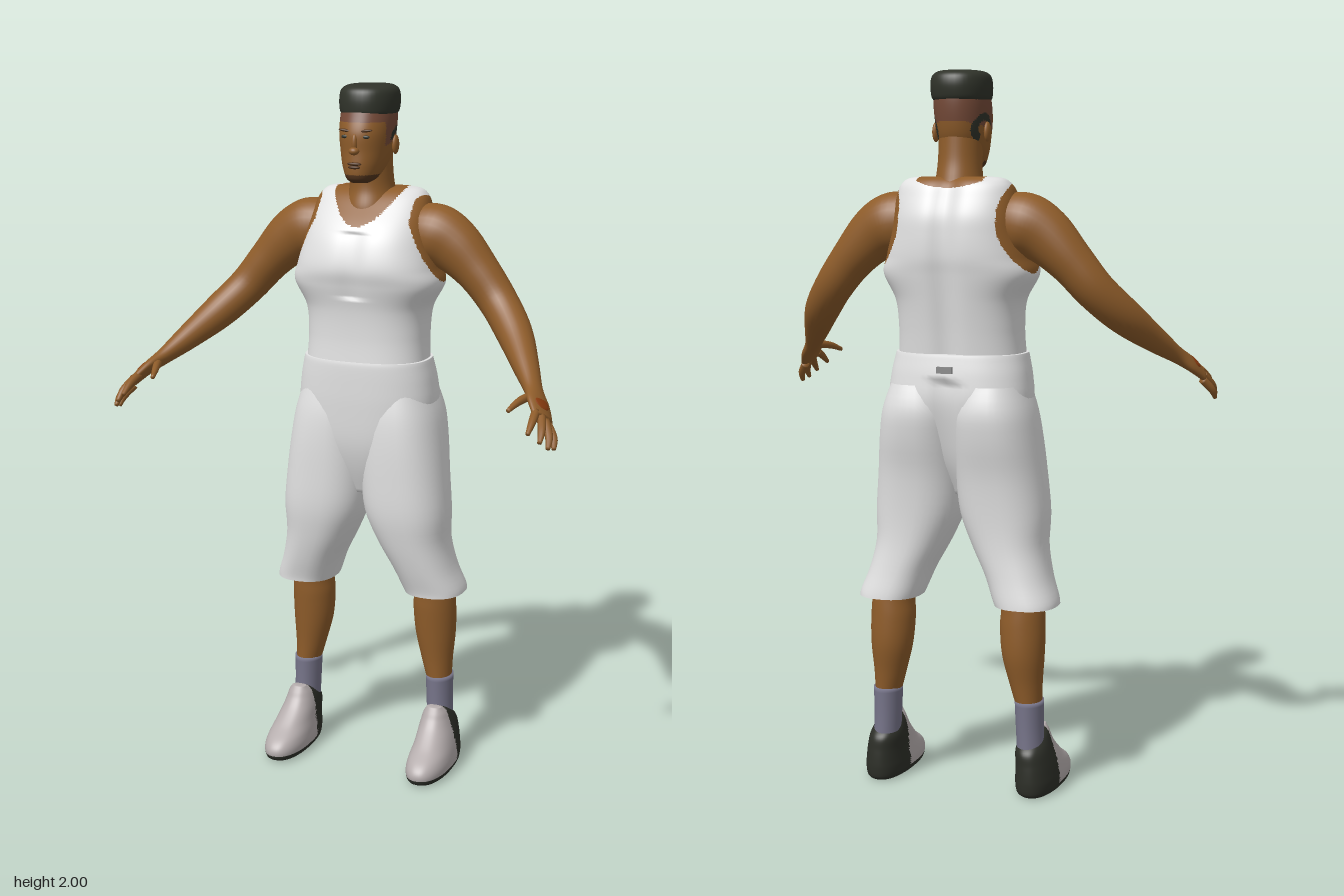
import * as THREE from 'three';

const mat = (name, color, side = THREE.FrontSide) => {
  const m = new THREE.MeshStandardMaterial({ color, side });
  m.name = name;
  return m;
};

// smooth interpolation through rows of numbers
function sample(rows, t) {
  const f = t * (rows.length - 1), i = Math.min(Math.floor(f), rows.length - 2), u = f - i;
  const at = k => rows[Math.max(0, Math.min(rows.length - 1, k))];
  const [a, b, c, d] = [at(i - 1), at(i), at(i + 1), at(i + 2)];
  return b.map((_, k) => {
    const m0 = (c[k] - a[k]) / 2, m1 = (d[k] - b[k]) / 2, u2 = u * u, u3 = u2 * u;
    return (2 * u3 - 3 * u2 + 1) * b[k] + (u3 - 2 * u2 + u) * m0 + (3 * u2 - 2 * u3) * c[k] + (u3 - u2) * m1;
  });
}

// closed rings of points -> smooth surface; pick(x, y, z) chooses the material of a face
function skin(rings, capped, pick = () => 0) {
  if (capped) {
    const mid = r => r.reduce((s, p) => s.add(p), new THREE.Vector3()).divideScalar(r.length);
    const ends = [rings[0], rings.at(-1)].map(r => r.map(() => mid(r)));
    rings = [ends[0], ...rings, ends[1]];
  }
  const n = rings[0].length, pts = rings.flat(), buckets = [];
  const face = (...f) => {
    const c = new THREE.Vector3();
    f.forEach(i => c.addScaledVector(pts[i], 1 / 3));
    (buckets[pick(c.x, c.y, c.z)] ??= []).push(...f);
  };
  for (let i = 0; i < rings.length - 1; i++) for (let j = 0; j < n; j++) {
    const a = i * n + j, b = i * n + (j + 1) % n;
    face(a, b, a + n);
    face(b, b + n, a + n);
  }
  const g = new THREE.BufferGeometry().setFromPoints(pts);
  g.setIndex(buckets.flat());
  let start = 0;
  buckets.forEach((b, k) => { g.addGroup(start, b.length, k); start += b.length; });
  g.computeVertexNormals();
  return g;
}

// upright loft; rows of [y, xMin, xMax, zBack, zFront], bottom to top
function loft(rows, { n = 40, steps = 30, p = 2.3, capped = true, pick, warp } = {}) {
  const bow = v => Math.sign(v) * Math.abs(v) ** (2 / p), rings = [];
  for (let i = 0; i <= steps; i++) {
    const [y, x0, x1, z0, z1] = sample(rows, i / steps), ring = [];
    for (let j = 0; j < n; j++) {
      const a = j / n * Math.PI * 2;
      const v = new THREE.Vector3((x0 + x1) / 2 + (x1 - x0) / 2 * bow(Math.cos(a)), y,
        (z0 + z1) / 2 - (z1 - z0) / 2 * bow(Math.sin(a)));
      if (warp) warp(v);
      ring.push(v);
    }
    rings.push(ring);
  }
  return skin(rings, capped, pick);
}
const even = rows => rows.map(([y, w, z0, z1]) => [y, -w, w, z0, z1]);

// limb along a path; rows of [x, y, z, radius, thickness]
function limb(rows, n = 24, steps = 32) {
  const rings = [], e = 0.01;
  for (let i = 0; i <= steps; i++) {
    const t = i / steps, [x, y, z, r, h] = sample(rows, t);
    const dir = new THREE.Vector3(...sample(rows, Math.min(1, t + e)).slice(0, 3))
      .sub(new THREE.Vector3(...sample(rows, Math.max(0, t - e)).slice(0, 3))).normalize();
    const up = new THREE.Vector3(1, 1, 0);
    up.addScaledVector(dir, -up.dot(dir)).normalize();
    const across = dir.clone().cross(up);
    rings.push(Array.from({ length: n }, (_, j) => {
      const a = j / n * Math.PI * 2;
      return new THREE.Vector3(x, y, z).addScaledVector(up, h * Math.cos(a)).addScaledVector(across, r * Math.sin(a));
    }));
  }
  return skin(rings, true);
}

export function createModel() {
  const root = new THREE.Group();
  const skinTone = mat('skin', 0x8e5c2a), cloth = mat('white cloth', 0xe2e2e2, THREE.DoubleSide);
  const hair = mat('hair', 0x30332a), fade = mat('shaved hair', 0x754a38), beard = mat('beard', 0x53351d);
  const sockMat = mat('sock', 0x77758a), shoeMat = mat('shoe', 0xb5adad), darkMat = mat('shoe dark', 0x2d2f28);
  const knuckle = mat('hand marking', 0x8a3c10), grey = mat('tag', 0x8c8c8c);
  const add = (name, geo, m, parent = root) => {
    const mesh = new THREE.Mesh(geo, m);
    mesh.name = name;
    parent.add(mesh);
    return mesh;
  };
  const blob = (name, m, pos, size, parent = root) => {
    const mesh = add(name, new THREE.SphereGeometry(1, 20, 14), m, parent);
    mesh.position.set(...pos);
    mesh.scale.set(...size);
    return mesh;
  };

  // torso: vest with skin showing at the neckline and armholes
  add('torso', loft(even([
    [1.22, 0.178, -0.235, 0.018], [1.30, 0.174, -0.245, 0.014], [1.38, 0.181, -0.257, 0.018],
    [1.45, 0.216, -0.268, 0.032], [1.50, 0.205, -0.276, 0.04], [1.56, 0.19, -0.276, 0.025],
    [1.61, 0.18, -0.27, -0.002], [1.66, 0.17, -0.25, -0.045], [1.695, 0.155, -0.232, -0.08],
    [1.712, 0.125, -0.21, -0.11], [1.715, 0.05, -0.18, -0.14]]), {
    n: 144, steps: 110, p: 2.5,
    warp: v => {
      const back = v.z < -0.14, s = Math.exp(-((v.x / 0.035) ** 2));
      if (back) v.z += 0.016 * s;
      else if (v.y > 1.42 && v.y < 1.6) v.z -= 0.008 * s;
    },
    pick: (x, y, z) => {
      const neck = z > -0.15 ? y > 1.615 + 9 * x * x : y > 1.685 + 2 * x * x && Math.abs(x) < 0.095;
      const armhole = Math.abs(x) > 0.14 && ((z + 0.14) / 0.1) ** 2 + ((y - 1.575) / 0.12) ** 2 < 1;
      return neck || armhole ? 1 : 0;
    } }), [cloth, skinTone]);

  // neck
  add('neck', loft(even([
    [1.60, 0.085, -0.23, -0.04], [1.66, 0.077, -0.222, -0.045], [1.71, 0.064, -0.208, -0.06],
    [1.76, 0.06, -0.196, -0.06], [1.83, 0.06, -0.19, -0.05]]), { p: 2 }), skinTone);

  // head with shaved sides, hairline around the ears and chin beard
  add('head', loft(even([
    [1.735, 0.026, -0.07, -0.016], [1.748, 0.042, -0.115, 0.0], [1.78, 0.058, -0.165, 0.004],
    [1.82, 0.068, -0.19, 0.002], [1.87, 0.074, -0.202, 0.002], [1.92, 0.075, -0.206, -0.014],
    [1.96, 0.07, -0.2, -0.03]]), {
    n: 96, steps: 64, p: 2.15,
    pick: (x, y, z) => {
      const r = ((z + 0.13) / 0.045) ** 2 + ((y - 1.845) / 0.04) ** 2;
      if (r < 1 && r > 0.25 && (y > 1.85 || z < -0.14)) return 2;
      if (y > 1.9 || (z < -0.06 && y > 1.835 - (z + 0.06) * 0.2)) return 1;
      return y < 1.758 && z > -0.07 ? 3 : 0;
    } }), [skinTone, fade, hair, beard]);

  // flat-topped hair
  add('hair', loft(even([
    [1.918, 0.073, -0.204, -0.02], [1.93, 0.079, -0.211, -0.016], [1.96, 0.081, -0.215, -0.016],
    [1.985, 0.076, -0.208, -0.024], [1.997, 0.058, -0.187, -0.045], [2.0, 0.025, -0.15, -0.08]]), { p: 2.2 }), hair);

  // face
  blob('nose bridge', skinTone, [0, 1.845, 0.0], [0.009, 0.026, 0.011]);
  blob('nose tip', skinTone, [0, 1.824, 0.005], [0.015, 0.011, 0.014]);
  blob('upperLip', beard, [0, 1.789, 0.003], [0.021, 0.005, 0.008]);
  blob('lowerLip', beard, [0, 1.78, 0.004], [0.018, 0.005, 0.008]);

  // shorts: hips, plus one leg per side below
  add('hips', loft(even([
    [0.84, 0.05, -0.18, -0.04], [0.92, 0.13, -0.215, -0.008], [1.0, 0.185, -0.238, 0.012],
    [1.1, 0.203, -0.258, 0.02], [1.17, 0.198, -0.254, 0.022], [1.22, 0.188, -0.245, 0.022],
    [1.236, 0.184, -0.241, 0.02]]), {
    p: 2.5, n: 64,
    warp: v => { if (v.z < -0.14 && v.y < 1.17) v.z += 0.02 * Math.exp(-((v.x / 0.03) ** 2)); } }), cloth);
  add('waist tag', new THREE.BoxGeometry(0.045, 0.018, 0.008), grey).position.set(0, 1.195, -0.252);

  for (const side of [1, -1]) {
    const g = new THREE.Group();
    g.name = side > 0 ? 'leftSide' : 'rightSide';
    root.add(g);
    // mirrored copies keep outward faces by reversing the winding
    const put = (name, geo, m) => {
      if (side < 0) {
        geo.scale(-1, 1, 1);
        const ix = geo.index.array;
        for (let i = 0; i < ix.length; i += 3) [ix[i], ix[i + 1]] = [ix[i + 1], ix[i]];
        geo.computeVertexNormals();
      }
      return add(name, geo, m, g);
    };

    // shorts leg, open at the hem
    put('shortsLeg', loft([
      [0.54, 0.115, 0.29, -0.24, -0.042], [0.56, 0.106, 0.286, -0.238, -0.038], [0.62, 0.082, 0.264, -0.23, -0.02],
      [0.70, 0.04, 0.248, -0.225, 0.0], [0.79, 0.003, 0.25, -0.228, 0.016], [0.90, -0.008, 0.24, -0.24, 0.02],
      [1.0, -0.008, 0.228, -0.262, 0.02], [1.08, -0.004, 0.214, -0.27, 0.014], [1.15, 0.02, 0.19, -0.25, 0.0]],
      { capped: false, p: 2.35 }), cloth);

    // leg and sock
    put('leg', loft([
      [0.25, 0.178, 0.248, -0.198, -0.106], [0.32, 0.158, 0.25, -0.208, -0.103], [0.40, 0.138, 0.256, -0.222, -0.096],
      [0.48, 0.131, 0.257, -0.222, -0.09], [0.56, 0.132, 0.25, -0.215, -0.085], [0.72, 0.1, 0.22, -0.2, -0.05]],
      { p: 2 }), skinTone);
    put('sock', loft([
      [0.08, 0.182, 0.258, -0.2, -0.1], [0.18, 0.177, 0.253, -0.2, -0.103], [0.27, 0.173, 0.253, -0.204, -0.101]],
      { p: 2, steps: 10 }), sockMat);

    // shoe with dark sole and heel
    put('shoe', loft([
      [0.0, 0.18, 0.275, -0.2, 0.06], [0.01, 0.168, 0.286, -0.212, 0.08], [0.035, 0.164, 0.29, -0.216, 0.085],
      [0.06, 0.166, 0.287, -0.216, 0.066], [0.09, 0.17, 0.28, -0.214, 0.015], [0.125, 0.172, 0.27, -0.21, -0.03],
      [0.15, 0.177, 0.262, -0.185, -0.053], [0.17, 0.185, 0.254, -0.15, -0.065], [0.188, 0.198, 0.24, -0.1, -0.076]],
      { n: 72, steps: 48, p: 2.3, pick: (x, y, z) => (y < 0.022 || z < -0.105 ? 1 : 0) }), [shoeMat, darkMat]);

    // arm and palm
    put('arm', limb([
      [0.13, 1.585, -0.14, 0.07, 0.08], [0.19, 1.585, -0.14, 0.08, 0.088], [0.25, 1.555, -0.138, 0.07, 0.078],
      [0.32, 1.487, -0.134, 0.06, 0.062], [0.385, 1.41, -0.118, 0.053, 0.055], [0.45, 1.338, -0.06, 0.05, 0.05],
      [0.51, 1.272, 0.03, 0.038, 0.036], [0.553, 1.226, 0.1, 0.03, 0.023], [0.582, 1.198, 0.145, 0.04, 0.017],
      [0.606, 1.168, 0.185, 0.036, 0.013]], 28, 54), skinTone);

    // fingers and thumb
    const fingers = [
      [[0.588, 1.187, 0.19], [0.592, 1.17, 0.235], [0.592, 1.147, 0.274]],
      [[0.603, 1.176, 0.187], [0.617, 1.148, 0.23], [0.62, 1.122, 0.258]],
      [[0.612, 1.163, 0.18], [0.633, 1.13, 0.215], [0.637, 1.103, 0.238]],
      [[0.615, 1.15, 0.167], [0.638, 1.12, 0.188], [0.644, 1.095, 0.206]],
      [[0.558, 1.216, 0.125], [0.538, 1.208, 0.178], [0.523, 1.192, 0.226]]];
    fingers.forEach((f, i) => put(i < 4 ? 'finger' : 'thumb',
      limb(f.map((p, k) => [...p, ...[[0.012, 0.012], [0.0105, 0.0105], [0.006, 0.006]][k]]), 10, 10), skinTone));
    const mark = blob('hand marking', knuckle, [side * 0.594, 1.203, 0.155], [0.024, 0.024, 0.005], g);
    mark.lookAt(side * 1.594, 2.203, 0.255);

    // ear, eye and brow
    blob('ear', skinTone, [side * 0.075, 1.835, -0.118], [0.009, 0.027, 0.017], g);
    blob('eye', hair, [side * 0.029, 1.862, -0.006], [0.013, 0.005, 0.005], g);
    blob('brow', beard, [side * 0.031, 1.879, -0.006], [0.019, 0.004, 0.006], g).rotation.z = side * 0.12;
  }
  return root;
}
